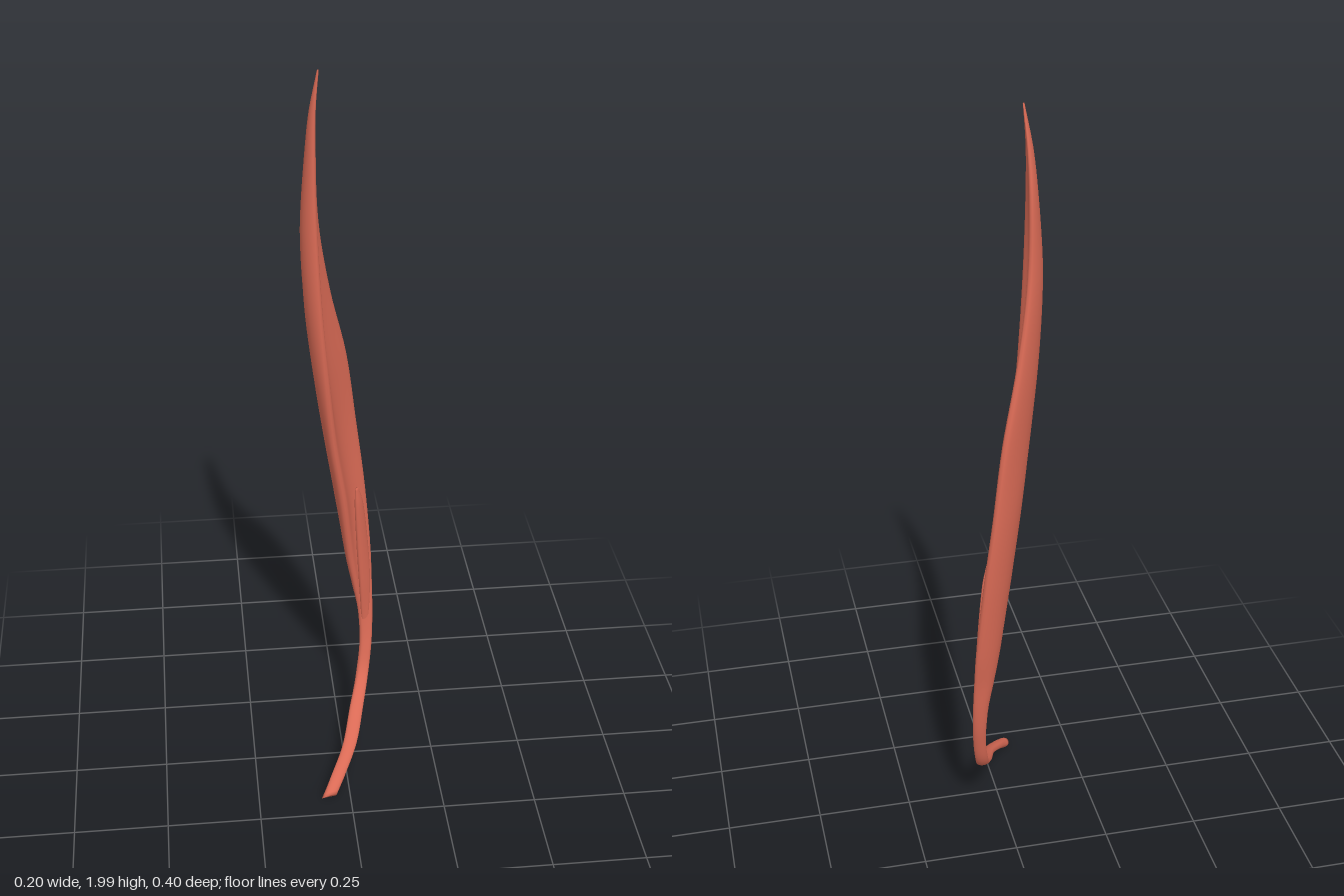
import * as THREE from 'three';

const material = new THREE.MeshStandardMaterial({ color: 0xd96a55 });

// Lofts a curved strip through rows of [y, front edge xz, middle xz, back edge xz, half thickness]
function loft(name, rows, steps, sides) {
  const curve = k => new THREE.CatmullRomCurve3(rows.map(r => new THREE.Vector3(r[k], r[0], r[k + 1])));
  const [front, middle, back] = [curve(1), curve(3), curve(5)];
  const half = sides / 2;
  const pos = [], index = [];
  for (let i = 0; i <= steps; i++) {
    const u = i / steps;
    const a = front.getPoint(u), m = middle.getPoint(u), b = back.getPoint(u);
    const f = u * (rows.length - 1), k = Math.min(Math.floor(f), rows.length - 2);
    const thick = THREE.MathUtils.lerp(rows[k][7], rows[k + 1][7], f - k);
    const control = m.clone().multiplyScalar(2).sub(a.clone().add(b).multiplyScalar(0.5));
    const arc = new THREE.QuadraticBezierCurve3(a, control, b);
    const along = middle.getTangent(u);
    for (let j = 0; j < sides; j++) {
      const angle = (j / half) * Math.PI;
      const s = (1 - Math.cos(angle)) / 2;
      const normal = along.clone().cross(arc.getTangent(s)).normalize();
      const lift = Math.sign(Math.sin(angle)) * Math.abs(Math.sin(angle)) ** 0.75 * thick;
      pos.push(...arc.getPoint(s).addScaledVector(normal, j % half ? lift : 0).toArray());
    }
  }
  for (let i = 0; i < steps; i++) {
    for (let j = 0; j < sides; j++) {
      const a = i * sides + j, b = i * sides + (j + 1) % sides;
      index.push(a, a + sides, b, b, a + sides, b + sides);
    }
  }
  // End caps
  const top = pos.length / 3;
  pos.push(...middle.getPoint(0).toArray(), ...middle.getPoint(1).toArray());
  const last = steps * sides;
  for (let j = 0; j < sides; j++) {
    const n = (j + 1) % sides;
    index.push(top, j, n, top + 1, last + n, last + j);
  }
  const geometry = new THREE.BufferGeometry();
  geometry.setAttribute('position', new THREE.Float32BufferAttribute(pos, 3));
  geometry.setIndex(index);
  geometry.computeVertexNormals();
  const mesh = new THREE.Mesh(geometry, material);
  mesh.name = name;
  return mesh;
}

export function createModel() {
  const group = new THREE.Group();
  group.name = 'muscle';

  // Long hollowed belly, running down into a bent tendon
  group.add(loft('bellyAndTendon', [
    [2.0, -0.055, -0.028, -0.056, -0.03, -0.054, -0.033, 0.002],
    [1.9, -0.063, -0.025, -0.07, -0.04, -0.06, -0.062, 0.007],
    [1.8, -0.066, -0.02, -0.076, -0.05, -0.06, -0.088, 0.011],
    [1.6, -0.062, -0.014, -0.084, -0.055, -0.053, -0.107, 0.016],
    [1.4, -0.052, -0.013, -0.073, -0.065, -0.022, -0.14, 0.018],
    [1.2, -0.037, -0.022, -0.046, -0.09, 0.023, -0.178, 0.02],
    [1.0, -0.02, -0.044, -0.014, -0.125, 0.05, -0.19, 0.02],
    [0.8, 0.01, -0.074, 0.016, -0.14, 0.075, -0.187, 0.02],
    [0.6, 0.032, -0.108, 0.043, -0.148, 0.092, -0.172, 0.016],
    [0.5, 0.048, -0.124, 0.056, -0.148, 0.095, -0.158, 0.012],
    [0.4, 0.058, -0.138, 0.074, -0.147, 0.096, -0.145, 0.01],
    [0.3, 0.06, -0.128, 0.075, -0.132, 0.092, -0.128, 0.01],
    [0.21, 0.046, -0.098, 0.062, -0.102, 0.08, -0.1, 0.011],
    [0.155, 0.021, -0.03, 0.04, -0.033, 0.06, -0.035, 0.011],
    [0.1, -0.01, 0.07, 0.01, 0.068, 0.03, 0.064, 0.011],
    [0.055, -0.05, 0.145, -0.031, 0.145, -0.01, 0.141, 0.012],
    [0.025, -0.079, 0.197, -0.059, 0.19, -0.038, 0.186, 0.014],
  ], 96, 28));

  // Thin slip lying in the hollow, where the tendon starts
  group.add(loft('tendonSlip', [
    [0.83, 0.042, -0.1, 0.046, -0.104, 0.05, -0.11, 0.003],
    [0.78, 0.042, -0.1, 0.052, -0.11, 0.062, -0.122, 0.007],
    [0.65, 0.048, -0.11, 0.062, -0.122, 0.078, -0.138, 0.008],
    [0.5, 0.058, -0.122, 0.072, -0.134, 0.088, -0.143, 0.008],
    [0.36, 0.066, -0.138, 0.074, -0.14, 0.084, -0.139, 0.004],
  ], 30, 14));

  return group;
}
